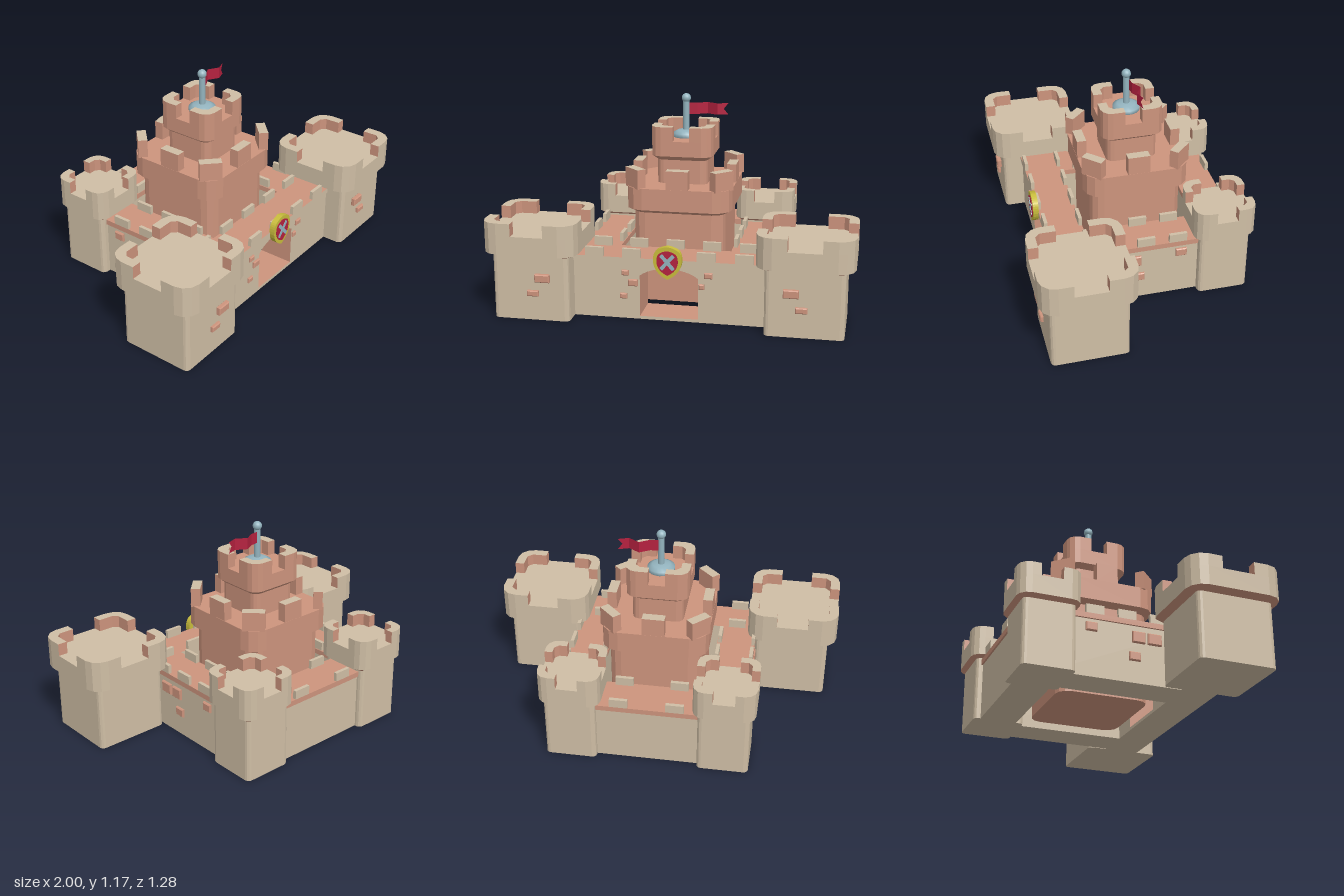
import * as THREE from 'three';

const mat = (name, color, side = THREE.FrontSide) => {
  const m = new THREE.MeshStandardMaterial({ color, side });
  m.name = name;
  return m;
};

export function createModel() {
  const tan = mat('sandstone', 0xcfbea5);
  const clay = mat('terracotta', 0xcd947d);
  const blue = mat('blueGrey', 0x93b3be);
  const red = mat('red', 0xb5213f, THREE.DoubleSide);
  const gold = mat('gold', 0xc8bc3c);
  const tanTop = [clay, clay, tan, clay, clay, clay];
  const clayTop = [tan, tan, clay, tan, tan, tan];

  const root = new THREE.Group();
  root.name = 'castle';

  const add = (parent, name, geo, material, x = 0, y = 0, z = 0) => {
    const m = new THREE.Mesh(geo, material);
    m.name = name;
    m.position.set(x, y, z);
    parent.add(m);
    return m;
  };
  const box = (parent, name, material, x0, x1, y0, y1, z0, z1) =>
    add(parent, name, new THREE.BoxGeometry(x1 - x0, y1 - y0, z1 - z0), material,
      (x0 + x1) / 2, (y0 + y1) / 2, (z0 + z1) / 2);
  const group = (parent, name, x = 0, z = 0) => {
    const g = new THREE.Group();
    g.name = name;
    g.position.set(x, 0, z);
    parent.add(g);
    return g;
  };

  // Rounded corner and rounded square outlines as [x, z] points
  const corner = (h, r, n, turn = 0) => Array.from({ length: n + 1 }, (_, i) => {
    const a = (i / n) * Math.PI / 2, t = turn * Math.PI / 2;
    const x = h - r + r * Math.cos(a), z = h - r + r * Math.sin(a);
    return [x * Math.cos(t) - z * Math.sin(t), x * Math.sin(t) + z * Math.cos(t)];
  });
  const square = (h, r, n) => [0, 1, 2, 3].flatMap(k => corner(h, r, n, k));

  // Faceted side surface between two outlines
  const sides = (a, y0, b, y1, closed = true) => {
    const v = [];
    const count = closed ? a.length : a.length - 1;
    for (let i = 0; i < count; i++) {
      const j = (i + 1) % a.length;
      const a0 = [a[i][0], y0, a[i][1]], b0 = [a[j][0], y0, a[j][1]];
      const a1 = [b[i][0], y1, b[i][1]], b1 = [b[j][0], y1, b[j][1]];
      v.push(...a0, ...a1, ...b1, ...a0, ...b1, ...b0);
    }
    const g = new THREE.BufferGeometry();
    g.setAttribute('position', new THREE.Float32BufferAttribute(v, 3));
    g.computeVertexNormals();
    return g;
  };
  const cap = (pts, y, up = true) => {
    const s = up ? -1 : 1;
    const g = new THREE.ShapeGeometry(new THREE.Shape(pts.map(p => new THREE.Vector2(p[0], s * p[1]))));
    return g.rotateX(s * Math.PI / 2).translate(0, y, 0);
  };

  // Shaft, flare and wider head of a tower stage
  const stage = (g, o) => {
    const low = square(o.base, o.baseR, 3), mid = square(o.top, o.topR, 3);
    add(g, 'shaft', sides(low, o.y0, low, o.flare), o.skin);
    add(g, 'shaftBottom', cap(low, o.y0, false), o.skin);
    add(g, 'flare', sides(low, o.flare, mid, o.flare + o.flareH), clay);
    add(g, 'head', sides(mid, o.flare + o.flareH, mid, o.floor), o.skin);
    add(g, 'headFloor', cap(mid, o.floor), o.skin);
  };

  // Four L-shaped corner merlons: outer skin, inner lining and cap
  const cornerMerlons = (g, o) => {
    const h = o.top, i = h - o.thick, c = o.thick * 0.5;
    const outer = [[h, o.gap], ...corner(h, o.topR, 3), [o.gap, h]];
    const inner = [[o.gap, h], [o.gap, i], [i - c, i], [i, i - c], [i, o.gap], [h, o.gap]];
    for (let k = 0; k < 4; k++) {
      const m = group(g, 'cornerMerlon');
      m.rotation.y = k * Math.PI / 2;
      add(m, 'merlonOuter', sides(outer, o.floor, outer, o.crest, false), o.skin);
      add(m, 'merlonInner', sides(inner, o.floor, inner, o.crest, false), clay);
      add(m, 'merlonCap', cap([...outer, ...inner.slice(1, -1)], o.crest), tan);
    }
  };

  // Corner towers
  for (const s of [-1, 1]) {
    const shared = { skin: tan, y0: 0, flare: 0.36, flareH: 0.016, floor: 0.48, crest: 0.55 };
    const front = { ...shared, base: 0.212, baseR: 0.025, top: 0.26, topR: 0.09, gap: 0.09, thick: 0.055 };
    const back = { ...shared, base: 0.143, baseR: 0.025, top: 0.172, topR: 0.065, gap: 0.06, thick: 0.045 };
    const f = group(root, 'frontTower', s * 0.74, 0.38);
    stage(f, front);
    cornerMerlons(f, front);
    const b = group(root, 'backTower', s * 0.424, -0.468);
    stage(b, back);
    cornerMerlons(b, back);
  }

  // Front wall with an arched gateway over a low sill
  const wall = new THREE.Shape([[-0.54, 0.016], [0.54, 0.016], [0.54, 0.32], [-0.54, 0.32]]
    .map(p => new THREE.Vector2(...p)));
  const gate = new THREE.Path();
  gate.moveTo(-0.16, 0.017);
  gate.lineTo(-0.16, 0.25);
  gate.quadraticCurveTo(-0.1, 0.295, 0, 0.295);
  gate.quadraticCurveTo(0.1, 0.295, 0.16, 0.25);
  gate.lineTo(0.16, 0.017);
  wall.holes.push(gate);
  add(root, 'frontWall', new THREE.ExtrudeGeometry(wall, { depth: 0.2, bevelEnabled: false, curveSegments: 6 }),
    [tan, clay], 0, 0, 0.275);
  box(root, 'gateSill', clayTop, -0.54, 0.54, 0, 0.016, 0.275, 0.475);
  box(root, 'frontWalkway', clayTop, -0.56, 0.56, 0.32, 0.35, 0.27, 0.485);

  // Side and back walls with walkways
  for (const s of [-1, 1]) {
    const x = s * 0.42;
    box(root, 'sideWall', tan, x - 0.1, x + 0.1, 0, 0.32, -0.45, 0.275);
    box(root, 'sideWalkway', clay, x - 0.11, x + 0.11, 0.32, 0.35, -0.45, 0.27);
  }
  box(root, 'backWall', tan, -0.32, 0.32, 0, 0.32, -0.575, -0.37);
  box(root, 'backWalkway', clay, -0.31, 0.31, 0.32, 0.35, -0.585, -0.365);

  // Wall merlons along both edges of every walkway
  const merlon = (x, z, w, d) =>
    box(root, 'wallMerlon', tan, x - w / 2, x + w / 2, 0.35, 0.4, z - d / 2, z + d / 2);
  for (const z of [0.475, 0.28]) for (let i = -2; i <= 2; i++) merlon(i * 0.205, z, 0.1, 0.02);
  for (const z of [-0.575, -0.377]) for (const x of [-0.155, 0.155]) merlon(x, z, 0.1, 0.02);
  for (const x of [-0.52, -0.325, 0.325, 0.52]) for (const z of [-0.21, -0.03, 0.15]) merlon(x, z, 0.02, 0.1);

  // Keep: lower and upper stages
  const keep = group(root, 'keep', 0, -0.047);
  const lower = { skin: clay, y0: 0.016, base: 0.258, baseR: 0.07, top: 0.297, topR: 0.1,
    flare: 0.53, flareH: 0.022, floor: 0.675 };
  const upper = { skin: clay, y0: 0.67, base: 0.143, baseR: 0.04, top: 0.174, topR: 0.06,
    flare: 0.81, flareH: 0.025, floor: 0.92, crest: 1.0, gap: 0.047, thick: 0.05 };
  stage(keep, lower);
  stage(keep, upper);
  cornerMerlons(keep, upper);
  for (let k = 0; k < 8; k++) {
    const pivot = group(keep, 'keepMerlon');
    pivot.rotation.y = k * Math.PI / 4;
    const r = k % 2 ? 0.343 : 0.27;
    box(pivot, 'merlonBlock', tanTop, -0.062, 0.062, 0.67, 0.78, r - 0.027, r + 0.026);
  }

  // Flagpole with collar, ball and swallowtail flag
  const collar = [[0, 0.91], [0.076, 0.91], [0.076, 0.942], [0.05, 0.956], [0.018, 0.96]]
    .map(p => new THREE.Vector2(...p));
  add(keep, 'poleCollar', new THREE.LatheGeometry(collar, 20).toNonIndexed(), blue);
  add(keep, 'flagPole', new THREE.CylinderGeometry(0.018, 0.018, 0.19, 14), blue, 0, 1.04, 0);
  add(keep, 'poleBall', new THREE.SphereGeometry(0.026, 16, 12), blue, 0, 1.14, 0);
  const flag = new THREE.PlaneGeometry(1, 0.065, 4, 2);
  const fx = [0.012, 0.06, 0.115, 0.175, 0.235], fz = [-0.012, -0.018, -0.05, -0.014, -0.035];
  const p = flag.attributes.position;
  for (let i = 0; i < p.count; i++) {
    const c = i % 5, notch = i === 9 ? 0.025 : 0;
    p.setX(i, fx[c] - notch);
    p.setZ(i, fz[c] + notch * 0.35);
  }
  const flagFlat = flag.toNonIndexed();
  flagFlat.computeVertexNormals();
  add(keep, 'flag', flagFlat, red, 0, 1.078, 0);

  // Shield above the gate
  const shieldShape = k => {
    const s = new THREE.Shape();
    s.moveTo(0, 0.09 * k);
    s.quadraticCurveTo(0.035 * k, 0.085 * k, 0.06 * k, 0.068 * k);
    s.quadraticCurveTo(0.08 * k, 0.05 * k, 0.077 * k, 0);
    s.quadraticCurveTo(0.07 * k, -0.06 * k, 0, -0.093 * k);
    s.quadraticCurveTo(-0.07 * k, -0.06 * k, -0.077 * k, 0);
    s.quadraticCurveTo(-0.08 * k, 0.05 * k, -0.06 * k, 0.068 * k);
    s.quadraticCurveTo(-0.035 * k, 0.085 * k, 0, 0.09 * k);
    return s;
  };
  const plate = (k, depth) =>
    new THREE.ExtrudeGeometry(shieldShape(k), { depth, bevelEnabled: false, curveSegments: 5 });
  add(root, 'shieldRim', plate(1, 0.032), gold, 0, 0.342, 0.483);
  add(root, 'shieldField', plate(0.75, 0.004), red, 0, 0.342, 0.514);
  for (const s of [-1, 1]) {
    add(root, 'shieldCross', new THREE.BoxGeometry(0.02, 0.105, 0.004), blue, 0, 0.347, 0.519 + s * 0.0004)
      .rotation.z = s * 0.72;
  }

  // Projecting bricks with bevelled edges: u across, y up, facing +z before turning
  const brick = (w, h) => {
    const s = new THREE.Shape([[-1, -1], [1, -1], [1, 1], [-1, 1]]
      .map(q => new THREE.Vector2(q[0] * (w / 2 - 0.005), q[1] * (h / 2 - 0.005))));
    return new THREE.ExtrudeGeometry(s, { depth: 0.018, bevelThickness: 0.005, bevelSize: 0.005, bevelSegments: 1 });
  };
  const frontBricks = [[-0.24, 0.263, 0.04, 0.03], [-0.197, 0.208, 0.052, 0.038], [-0.25, 0.13, 0.04, 0.03],
    [0.217, 0.272, 0.045, 0.032], [0.18, 0.207, 0.03, 0.03]];
  for (const [x, y, w, h] of frontBricks) add(root, 'wallBrick', brick(w, h), clay, x, y, 0.465);
  const sideBricks = [[0.124, 0.255, 0.078, 0.063], [0.034, 0.255, 0.072, 0.063],
    [-0.23, 0.275, 0.062, 0.048], [0.01, 0.145, 0.062, 0.048]];
  for (const s of [-1, 1]) {
    add(root, 'towerBrick', brick(0.082, 0.045), clay, s * 0.67, 0.245, 0.595);
    add(root, 'towerBrick', brick(0.064, 0.032), clay, s * 0.726, 0.155, 0.587);
    for (const [z, y, w, h] of sideBricks) {
      add(root, 'sideBrick', brick(w, h), clay, s * 0.512, y, z).rotation.y = s * Math.PI / 2;
    }
  }
  return root;
}
